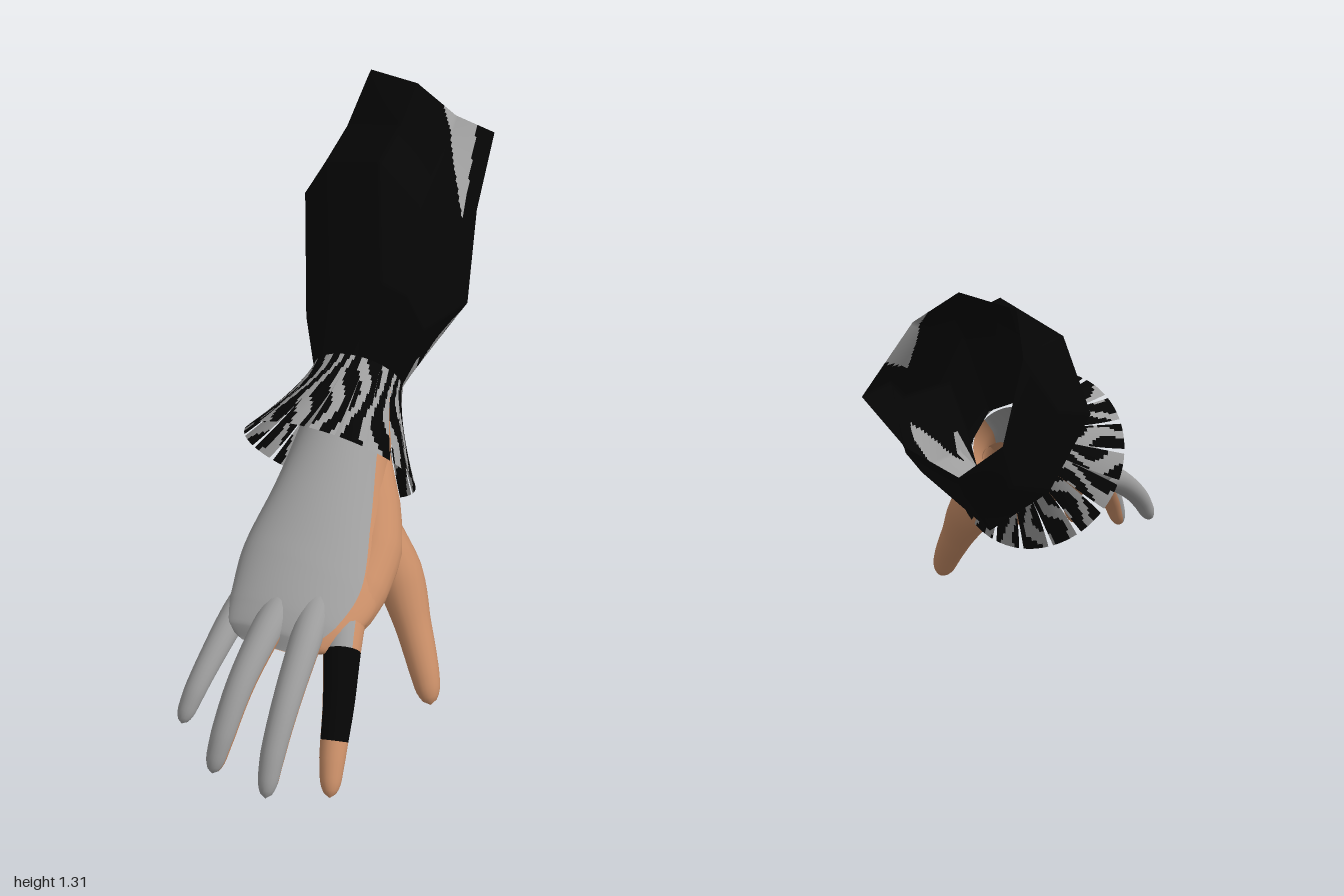
import * as THREE from 'three';

const V3 = (a) => new THREE.Vector3(...a);
const mat = (name, color) => {
  const m = new THREE.MeshStandardMaterial({ color, side: THREE.DoubleSide });
  m.name = name;
  return m;
};

// Grid surface from point(s, t); pick(s, t, p) chooses the material of each cell.
function surface(name, point, ns, nt, closed, mats, pick = () => 0) {
  const cols = closed ? ns : ns + 1;
  const pos = [];
  for (let j = 0; j <= nt; j++)
    for (let i = 0; i < cols; i++) pos.push(...point(i / ns, j / nt).toArray());
  const faces = mats.map(() => []);
  for (let j = 0; j < nt; j++)
    for (let i = 0; i < ns; i++) {
      const a = j * cols + i, b = j * cols + ((i + 1) % cols), c = a + cols, d = b + cols;
      const s = (i + 0.5) / ns, t = (j + 0.5) / nt;
      faces[pick(s, t, point(s, t))].push(a, c, b, b, c, d);
    }
  const geo = new THREE.BufferGeometry();
  geo.setAttribute('position', new THREE.Float32BufferAttribute(pos, 3));
  geo.setIndex(faces.flat());
  let start = 0;
  faces.forEach((f, k) => {
    if (f.length) geo.addGroup(start, f.length, k);
    start += f.length;
  });
  geo.computeVertexNormals();
  const mesh = new THREE.Mesh(geo, mats);
  mesh.name = name;
  return mesh;
}

// Point on an ellipse with centre c, upward half axis u and forward half axis v.
const onEllipse = (c, u, v, s) => c.clone()
  .addScaledVector(u, Math.cos(s * Math.PI * 2))
  .addScaledVector(v, Math.sin(s * Math.PI * 2));

// Rounded tapering digit along a path.
function digit(name, path, radii, mats, pick) {
  const curve = new THREE.CatmullRomCurve3(path.map(V3));
  const point = (s, t) => {
    const d = curve.getTangent(t);
    const u = new THREE.Vector3(0, 1, 0).addScaledVector(d, -d.y).normalize();
    const v = u.clone().cross(d);
    const k = Math.min(t * (radii.length - 1), radii.length - 1.0001), i = Math.floor(k);
    let r = radii[i] + (radii[i + 1] - radii[i]) * (k - i);
    if (t > 0.88) r *= Math.sqrt(Math.max(0, 1 - ((t - 0.88) / 0.12) ** 2));
    return onEllipse(curve.getPoint(t), u.multiplyScalar(r), v.multiplyScalar(r), s);
  };
  return surface(name, point, 20, 36, true, mats, pick);
}

export function createModel() {
  const black = mat('blackCloth', 0x050505);
  const grey = mat('greyCloth', 0x9c9c9c);
  const skin = mat('skin', 0xc68c66);
  const model = new THREE.Group();
  model.name = 'arm';

  // Sleeve: eight-sided rings from the open upper end to the wrist, each running
  // top, upper front, front, lower front, bottom, lower back, back, upper back
  const wrist = [[0.08, 0.675, -0.06], [-0.055, 0.13, 0.02], [0.065, 0, 0.125]].map(V3);
  const rings = [
    [[0.72, 1.31, -0.4], [0.77, 1.22, -0.28], [0.98, 1.06, -0.29], [1, 0.96, -0.46],
      [0.94, 0.89, -0.59], [0.86, 0.97, -0.67], [0.79, 1.19, -0.68], [0.71, 1.29, -0.59]].map(V3),
    [[0.59, 1.225, -0.36], [0.63, 1.17, -0.21], [0.66, 1, -0.09], [0.72, 0.83, -0.2],
      [0.73, 0.75, -0.43], [0.71, 0.8, -0.57], [0.6, 1, -0.645], [0.57, 1.16, -0.56]].map(V3),
    [[0.4, 1.22, -0.27], [0.4, 1.13, -0.1], [0.4, 0.87, 0.1], [0.47, 0.68, -0.03],
      [0.54, 0.59, -0.35], [0.5, 0.73, -0.53], [0.42, 0.95, -0.61], [0.38, 1.14, -0.48]].map(V3),
    [[0.14, 1.02, -0.02], [0.16, 1, 0.07], [0.2, 0.87, 0.1], [0.22, 0.67, 0.04],
      [0.22, 0.565, -0.14], [0.18, 0.61, -0.25], [0.1, 0.78, -0.3], [0.1, 0.95, -0.2]].map(V3),
    Array.from({ length: 8 }, (_, i) => onEllipse(...wrist, i / 8)),
  ];
  const sleevePoint = (s, t) => {
    const kt = Math.min(t * 4, 3.9999), j = Math.floor(kt), ks = s * 8, i = Math.floor(ks) % 8;
    const edge = (r) => r[i].clone().lerp(r[(i + 1) % 8], ks - Math.floor(ks));
    return edge(rings[j]).lerp(edge(rings[j + 1]), kt - j);
  };
  // Grey lining shows as a wedge near the open end and a band under the wrist
  model.add(surface('sleeve', sleevePoint, 160, 128, true, [black, grey], (s, t, p) => {
    const rise = p.x - 0.57;
    const wedge = p.z > -0.34 && p.y > 1.02 + 0.355 * rise && p.y < 1.02 + 1.25 * rise;
    const band = s > 0.34 && s < 0.67 && t > 0.73;
    const spike = p.z > -0.25 && p.y < Math.min(0.8, 0.58 + 0.85 * (p.x - 0.16))
      && p.x < 0.37 + 0.4 * (p.y - 0.59);
    return wedge || band || spike ? 1 : 0;
  }));

  // Ruffle: separate striped flaps flaring out from the wrist
  const ruffle = new THREE.Group();
  ruffle.name = 'ruffle';
  const rim = [[-0.165, 0.555, 0.05], [-0.15, 0.245, 0.05], [0.1, 0, 0.25]].map(V3);
  const flaps = 18;
  for (let i = 0; i < flaps; i++) {
    const angle = (s, t) => (i + 0.5 + (s - 0.5) * (1 - 0.16 * t * t)) / flaps;
    const flapPoint = (s, t) => {
      const [c, u, v] = wrist.map((w, k) => w.clone().lerp(rim[k], k ? t ** 1.4 : t));
      return onEllipse(c, u, v, angle(s, t));
    };
    ruffle.add(surface('ruffleFlap', flapPoint, 10, 18, false, [black, grey], (s, t) => {
      const a = angle(s, t) * Math.PI * 2;
      return Math.sin(a * 19 + 1.9 * Math.sin(t * 6 + a * 5)) > 0.25 ? 1 : 0;
    }));
  }
  model.add(ruffle);

  // Palm and wrist: ellipses given as centre, upward and forward half axes
  const sections = [
    [[0.08, 0.67, -0.05], [-0.05, 0.11, 0.03], [0.06, 0, 0.11]],
    [[-0.1, 0.585, 0.05], [-0.04, 0.11, 0.03], [0.06, -0.02, 0.13]],
    [[-0.28, 0.49, 0.16], [-0.035, 0.105, 0.02], [0.06, -0.04, 0.17]],
    [[-0.46, 0.405, 0.25], [-0.03, 0.095, 0.02], [0.07, -0.04, 0.205]],
    [[-0.6, 0.365, 0.3], [-0.02, 0.062, 0.015], [0.07, -0.02, 0.175]],
    [[-0.67, 0.34, 0.31], [-0.01, 0.038, 0.005], [0.06, -0.01, 0.14]],
    [[-0.7, 0.325, 0.31], [0, 0.001, 0], [0.03, 0, 0.08]],
  ];
  const tracks = [0, 1, 2].map((k) => new THREE.CatmullRomCurve3(sections.map((r) => V3(r[k]))));
  const palmPoint = (s, t) => onEllipse(...tracks.map((c) => c.getPoint(t)), s);
  model.add(surface('palm', palmPoint, 50, 48, true, [skin, grey],
    (s) => (s < 0.14 || s > 0.66 ? 1 : 0)));

  // Fingers and thumb
  const topHalf = (s) => (s < 0.25 || s > 0.72 ? 1 : 0);
  const slim = [0.05, 0.047, 0.041, 0.036, 0.026];
  model.add(
    digit('littleFinger', [[-0.55, 0.39, 0.13], [-0.68, 0.345, 0.155], [-0.8, 0.28, 0.18],
      [-0.89, 0.21, 0.195], [-0.955, 0.125, 0.2]], slim.map((r) => r * 0.9), [grey]),
    digit('ringFinger', [[-0.55, 0.41, 0.25], [-0.69, 0.365, 0.29], [-0.83, 0.28, 0.325],
      [-0.93, 0.17, 0.35], [-0.99, 0.06, 0.36]], slim, [skin, grey], topHalf),
    digit('middleFinger', [[-0.5, 0.41, 0.33], [-0.64, 0.36, 0.4], [-0.78, 0.265, 0.46],
      [-0.88, 0.155, 0.5], [-0.945, 0.045, 0.53]], slim, [skin, grey], topHalf),
    digit('indexFinger', [[-0.43, 0.375, 0.37], [-0.56, 0.31, 0.47], [-0.66, 0.225, 0.55],
      [-0.755, 0.125, 0.615], [-0.815, 0.04, 0.66]], [0.065, 0.055, 0.046, 0.038, 0.026],
    [skin, grey, black], (s, t) => {
      if (t > 0.26 && t < 0.68 && (s < 0.42 || s > 0.8)) return 2;
      return t <= 0.26 && (s < 0.12 || s > 0.75) ? 1 : 0;
    }),
    digit('thumb', [[-0.19, 0.49, 0.18], [-0.205, 0.41, 0.28], [-0.205, 0.31, 0.37],
      [-0.24, 0.2, 0.46], [-0.285, 0.09, 0.55], [-0.315, 0.005, 0.605]],
    [0.05, 0.085, 0.077, 0.056, 0.045, 0.032], [skin]),
    digit('thumbWeb', [[-0.06, 0.56, 0.12], [-0.16, 0.48, 0.22], [-0.26, 0.415, 0.31],
      [-0.38, 0.37, 0.37], [-0.52, 0.33, 0.43]], [0.06, 0.085, 0.092, 0.085, 0.055], [skin]),
  );
  return model;
}
